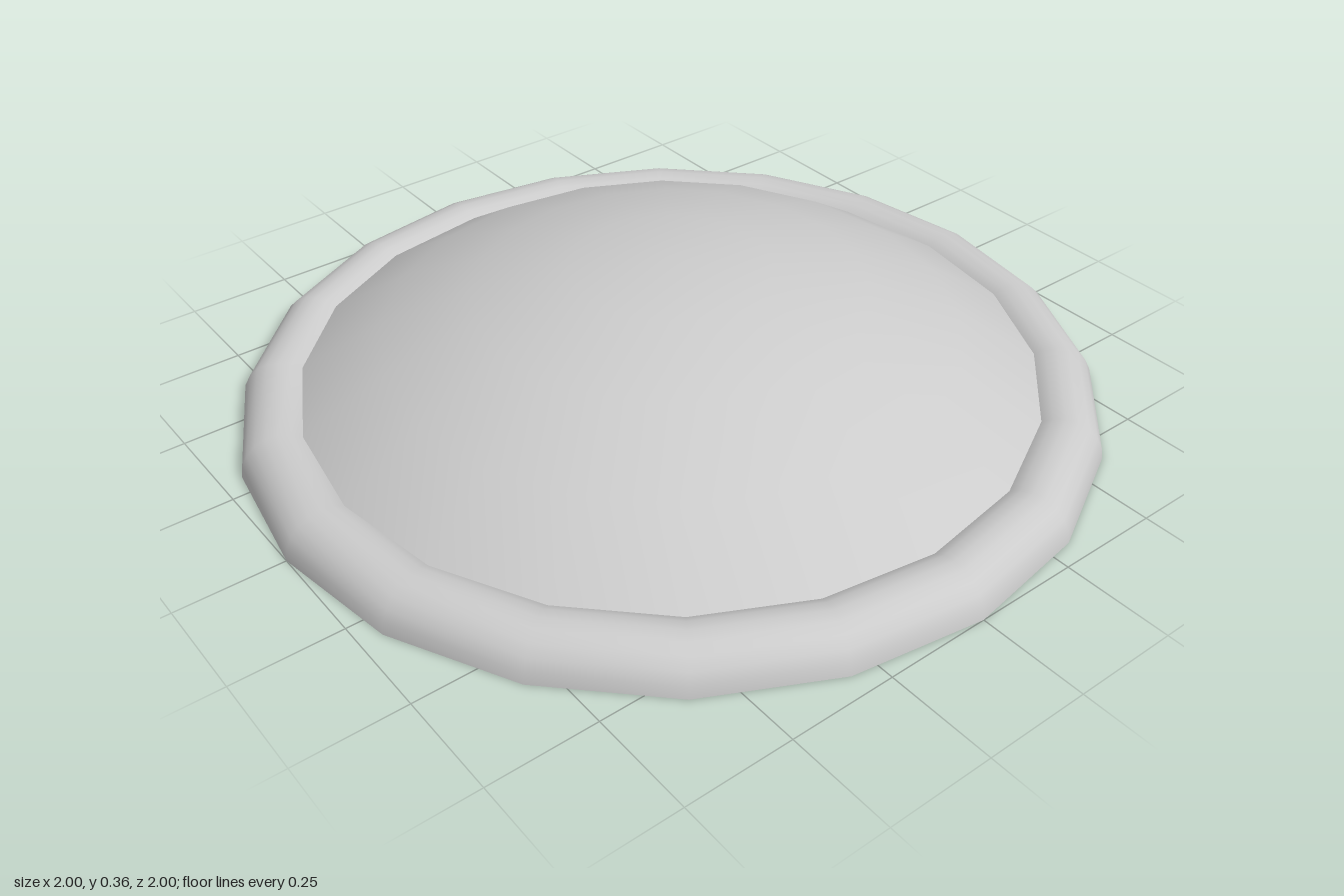
import * as THREE from 'three';

const SIDES = 20;

export function createModel() {
  const group = new THREE.Group();
  const material = new THREE.MeshStandardMaterial({ color: 0xcccccc });

  function add(name, geometry) {
    const mesh = new THREE.Mesh(geometry, material);
    mesh.name = name;
    group.add(mesh);
    return mesh;
  }

  // Shallow dome: the cap of a large sphere, its edge sunk into the rim
  const radius = 1.45;
  const dome = add('dome', new THREE.SphereGeometry(radius, SIDES, 4, 0, Math.PI * 2, 0, 0.64));
  dome.position.y = 0.355 - radius;

  // Half-round rim, swept from its outer foot over the top to its inner foot
  const profile = [];
  for (let i = 0; i <= 10; i++) {
    const a = (i / 10) * Math.PI;
    profile.push(new THREE.Vector2(0.91 + 0.09 * Math.cos(a), 0.09 * Math.sin(a)));
  }
  add('rim', new THREE.LatheGeometry(profile, SIDES));

  // Flat underside
  const base = add('base', new THREE.CircleGeometry(1, SIDES));
  base.rotation.x = Math.PI / 2;

  return group;
}
